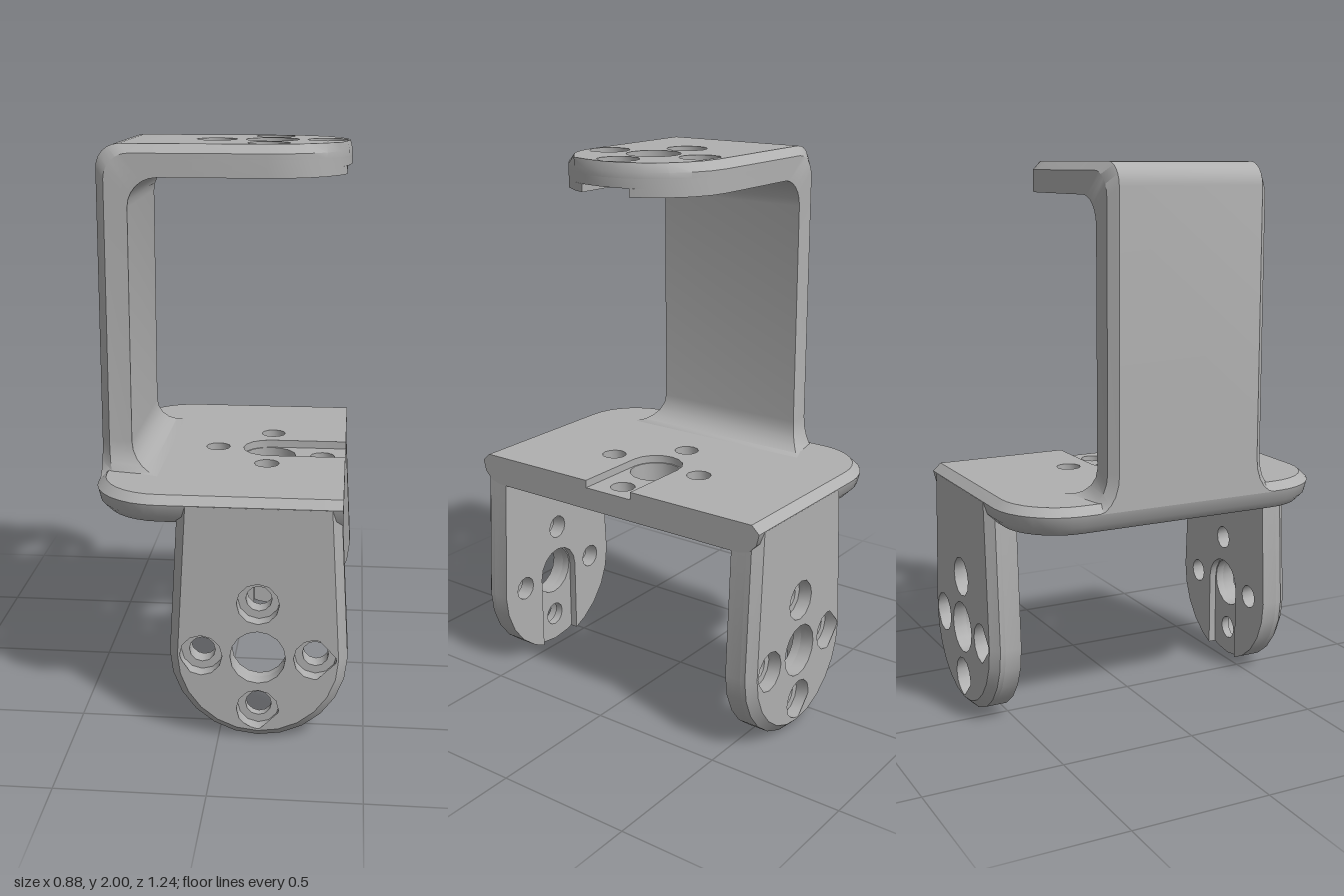
import * as THREE from 'three';
import { mergeGeometries, toCreasedNormals } from 'three/addons/utils/BufferGeometryUtils.js';

const T = 0.11, SLOT = 0.1, SLOT_DEPTH = 0.028, BEVEL = 0.03, PITCH = 0.195;

const circle = (u, v, r, n) => Array.from({ length: n }, (_, i) => {
  const a = (i / n) * Math.PI * 2;
  return [u + r * Math.cos(a), v + r * Math.sin(a)];
});

// Tab outline around its hole centre, rounded end towards -v, shrunk by d
function tabOutline(hwTop, hw, end, top, d) {
  const e = end - Math.min(d, end - 0.273), pts = [[hwTop - d, top]];
  for (let i = 0; i <= 12; i++) {
    const a = (i / 12) * Math.PI;
    pts.push([(hw - d) * Math.cos(a), -e * Math.sin(a)]);
  }
  pts.push([d - hwTop, top]);
  return pts;
}

// Base outline with two rounded back corners; the straight front edge stays put
function baseOutline(d) {
  const R = 0.24 - d, hw = 0.62 - d, back = 0.58 - d;
  const pts = [[-0.015 + hw, -0.28], [-0.015 - hw, -0.28]];
  for (const s of [-1, 1]) {
    for (let i = 0; i <= 8; i++) {
      const a = ((s < 0 ? i : 8 - i) / 8) * Math.PI / 2;
      pts.push([-0.015 + s * (hw - R + R * Math.cos(a)), back - R + R * Math.sin(a)]);
    }
  }
  return pts;
}

// Cut the open slot from the -v end up to the centre hole
function notch(pts, vEnd) {
  const at = pts.findIndex(p => p[0] < SLOT && p[1] < 0);
  const cut = [[SLOT, vEnd]];
  for (let i = 0; i <= 8; i++) {
    const a = (i / 8) * Math.PI;
    cut.push([SLOT * Math.cos(a), SLOT * Math.sin(a)]);
  }
  cut.push([-SLOT, vEnd]);
  const keep = p => !(Math.abs(p[0]) <= SLOT && p[1] < 0);
  return [...pts.slice(0, at).filter(keep), ...cut, ...pts.slice(at).filter(keep)];
}

// Bolt holes round the centre; the slotted layer has only three and no centre
function holes(r, slotted) {
  const list = [[PITCH, 0], [-PITCH, 0], [0, PITCH]].map(p => circle(p[0], p[1], r, 12));
  if (!slotted) list.push(circle(0, -PITCH, r, 12), circle(0, 0, 0.095, 16));
  return list;
}

// One layer of a plate from w0 to w1, its outer edge going from ringA to ringB
function layer(ringA, ringB, holeList, w0, w1) {
  const vec = ps => ps.map(p => new THREE.Vector2(p[0], p[1]));
  const shape = new THREE.Shape(vec(ringA));
  shape.holes = holeList.map(h => new THREE.Path(vec(h)));
  const geo = new THREE.ExtrudeGeometry(shape, { depth: w1 - w0, bevelEnabled: false });
  const key = (u, v) => Math.round(u * 1e4) + ',' + Math.round(v * 1e4);
  const target = new Map(ringA.map((p, i) => [key(p[0], p[1]), ringB[i]]));
  const pos = geo.attributes.position;
  for (let i = 0; i < pos.count; i++) {
    const to = target.get(key(pos.getX(i), pos.getY(i)));
    if (to && pos.getZ(i) > (w1 - w0) / 2) pos.setXY(i, to[0], to[1]);
  }
  return geo.translate(0, 0, w0);
}

const finish = layers => toCreasedNormals(mergeGeometries(layers), 0.6);

// Tab plate: slotted inner face, counterbored and bevelled outer face
function tabGeometry(hwTop, hw, end, top) {
  const full = tabOutline(hwTop, hw, end, top, 0);
  const small = tabOutline(hwTop, hw, end, top, BEVEL);
  const slotted = notch(full, -end * Math.sqrt(1 - (SLOT / hw) ** 2));
  return finish([
    layer(slotted, slotted, holes(0.045, true), 0, SLOT_DEPTH),
    layer(full, full, holes(0.045), SLOT_DEPTH, 0.06),
    layer(full, full, holes(0.073), 0.06, T - BEVEL),
    layer(full, small, holes(0.073), T - BEVEL, T),
  ]);
}

// Base plate: slotted and bevelled top, rounded lower edge
function baseGeometry() {
  const parts = [layer(notch(baseOutline(BEVEL), -0.28), notch(baseOutline(0), -0.28),
    holes(0.045, true), 0, SLOT_DEPTH)];
  let d0 = 0, w0 = SLOT_DEPTH;
  for (let i = 1; i <= 3; i++) {
    const a = (i / 3) * Math.PI / 2;
    const d1 = 0.08 * (1 - Math.cos(a)), w1 = 0.03 + 0.08 * Math.sin(a);
    parts.push(layer(baseOutline(d0), baseOutline(d1), holes(i === 1 ? 0.045 : 0.073), w0, w1));
    d0 = d1; w0 = w1;
  }
  return finish(parts);
}

// Upright: cross-sections swept round the top bend and down to a flared foot
function columnGeometry() {
  const stations = [[-0.2, 1.89, -0.2, 2, 0]]; // inner x, y, outer x, y, flare
  for (let i = 0; i <= 6; i++) {
    const a = (i / 6) * Math.PI / 2, s = Math.sin(a), c = Math.cos(a);
    stations.push([-0.235 - 0.1 * s, 1.79 + 0.1 * c, -0.365 - 0.08 * s, 1.92 + 0.08 * c, 0]);
  }
  for (let i = 0; i <= 5; i++) {
    const a = (i / 5) * Math.PI / 2, s = Math.sin(a), c = 1 - Math.cos(a);
    stations.push([-0.335 + 0.1 * c, 0.97 - 0.1 * s, -0.445, 0.97 - 0.13 * s, 0.08 * c]);
  }
  const pos = [], index = [], k = BEVEL / T;
  stations.forEach(([ix, iy, ox, oy, flare], j) => {
    const hw = 0.3025 + flare, mx = ox + (ix - ox) * k, my = oy + (iy - oy) * k;
    const ring = [[ix, iy, -hw], [mx, my, -hw], [ox, oy, BEVEL - hw],
      [ox, oy, hw - BEVEL], [mx, my, hw], [ix, iy, hw]];
    ring.forEach(p => pos.push(p[0], p[1], p[2] + 0.015));
    if (j === 0) return;
    for (let i = 0; i < 6; i++) {
      const a = (j - 1) * 6 + i, b = (j - 1) * 6 + (i + 1) % 6;
      index.push(a, a + 6, b + 6, a, b + 6, b);
    }
  });
  const geo = new THREE.BufferGeometry();
  geo.setAttribute('position', new THREE.Float32BufferAttribute(pos, 3));
  geo.setIndex(index);
  return toCreasedNormals(geo, 0.6);
}

export function createModel() {
  const group = new THREE.Group();
  group.name = 'servoBracket';
  const grey = new THREE.MeshStandardMaterial({ color: 0xb0b0b0 });
  grey.name = 'grey';

  const add = (name, geo, x, y, z) => {
    const mesh = new THREE.Mesh(geo, grey);
    mesh.name = name;
    mesh.position.set(x, y, z);
    group.add(mesh);
    return mesh;
  };
  const X = new THREE.Vector3(1, 0, 0), Y = new THREE.Vector3(0, 1, 0), Z = new THREE.Vector3(0, 0, 1);
  const turn = (mesh, u, v, w) =>
    mesh.quaternion.setFromRotationMatrix(new THREE.Matrix4().makeBasis(u, v, w));
  const neg = v => v.clone().negate();

  // Two mounting legs
  const leg = tabGeometry(0.275, 0.305, 0.305, 0.535);
  add('frontLeg', leg, 0.135, 0.305, 0.51);
  add('backLeg', leg, 0.135, 0.305, -0.51).rotation.y = Math.PI;

  // Top arm, upright and base
  turn(add('topArm', tabGeometry(0.3025, 0.3025, 0.28, 0.335), 0.135, 1.89, 0.015), neg(Z), neg(X), Y);
  add('upright', columnGeometry(), 0, 0, 0);
  turn(add('basePlate', baseGeometry(), 0.135, 0.87, 0.015), Z, neg(X), neg(Y));

  return group;
}
